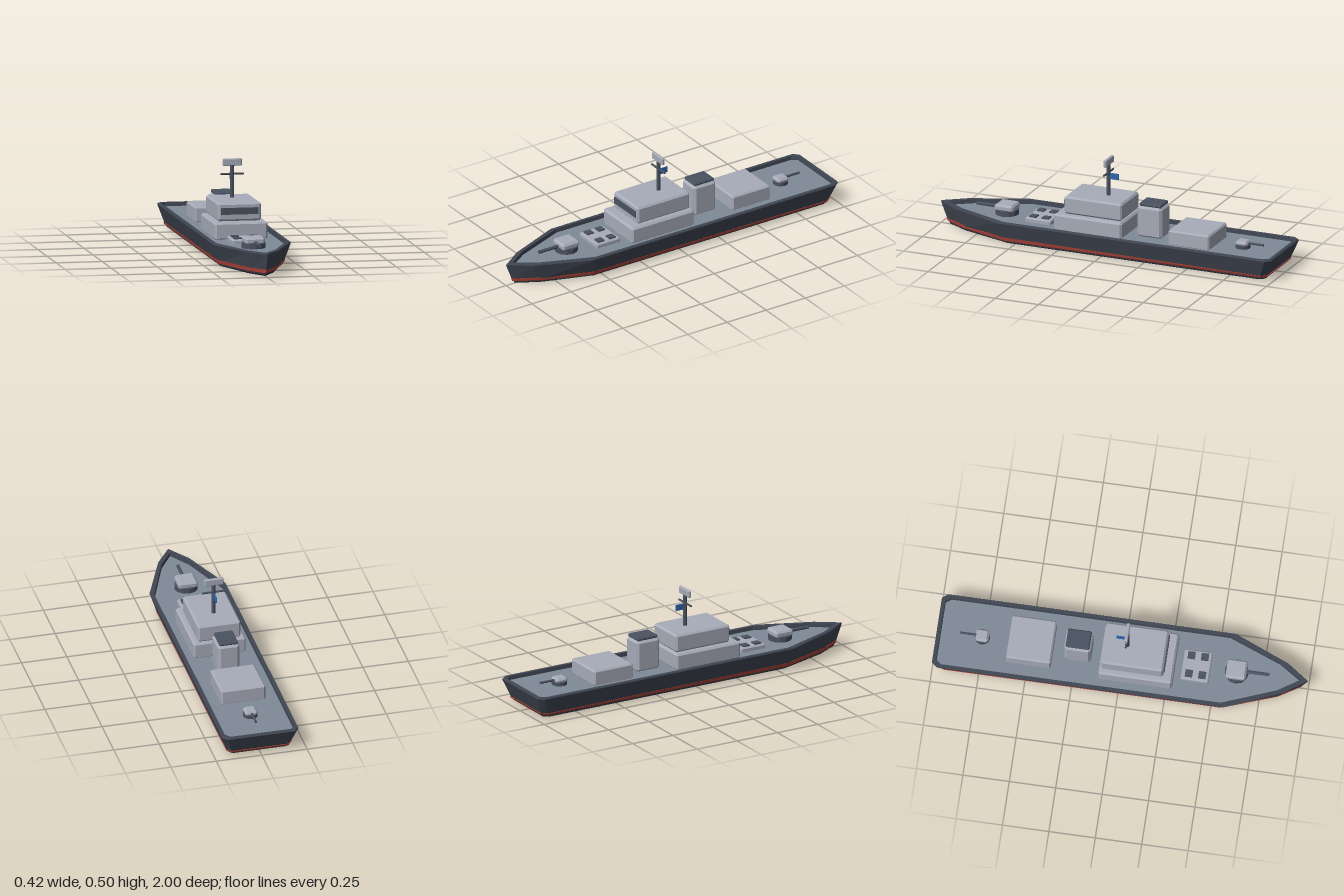
import * as THREE from 'three';
import { ConvexGeometry } from 'three/addons/geometries/ConvexGeometry.js';

const flat = (name, color) => {
  const m = new THREE.MeshStandardMaterial({ color, flatShading: true });
  m.name = name;
  return m;
};

// Plan of the hull at the rail: bow tip, port side, stern, starboard side
const port = [[0.085, 0.88], [0.21, 0.58], [0.21, -0.97], [0.185, -1]];
const outline = [[0, 1], ...port, ...port.slice().reverse().map(([x, z]) => [-x, z])];

// One level of the hull: the plan scaled to a half beam, a bow and a stern length
const ring = (y, halfBeam, bow, stern = bow) => outline.map(([x, z]) => [
  x * halfBeam / 0.21,
  typeof y === 'function' ? y(z) : y,
  z * (z > 0 ? bow : stern),
]);

// Skin between successive rings, with optional flat caps
function loft(rings, capBottom, capTop) {
  const n = outline.length, pos = [];
  const tri = (a, b, c) => pos.push(...a, ...b, ...c);
  for (let r = 0; r < rings.length - 1; r++) {
    const a = rings[r], b = rings[r + 1];
    for (let i = 0; i < n; i++) {
      const j = (i + 1) % n;
      tri(a[i], a[j], b[j]);
      tri(a[i], b[j], b[i]);
    }
  }
  const cap = (p, up) => {
    const c = [0, p[0][1], 0];
    for (let i = 0; i < n; i++) {
      const j = (i + 1) % n;
      if (up) tri(c, p[i], p[j]); else tri(c, p[j], p[i]);
    }
  };
  if (capBottom) cap(rings[0], false);
  if (capTop) cap(rings[rings.length - 1], true);
  const g = new THREE.BufferGeometry();
  g.setAttribute('position', new THREE.Float32BufferAttribute(pos, 3));
  g.computeVertexNormals();
  return g;
}

// Box with chamfered edges
function chamferBox(w, h, d, c) {
  const pts = [], s = [-1, 1];
  for (const i of s) for (const j of s) for (const k of s) {
    const x = w / 2, y = h / 2, z = d / 2;
    pts.push(
      new THREE.Vector3(i * x, j * (y - c), k * (z - c)),
      new THREE.Vector3(i * (x - c), j * y, k * (z - c)),
      new THREE.Vector3(i * (x - c), j * (y - c), k * z));
  }
  return new ConvexGeometry(pts);
}

export function createModel() {
  const ship = new THREE.Group();
  ship.name = 'warship';
  const hullGrey = flat('hull grey', 0x414854);
  const keelGrey = flat('keel grey', 0x2c3039);
  const red = flat('waterline red', 0xb3453a);
  const deckGrey = flat('deck grey', 0x808b99);
  const paleGrey = flat('superstructure grey', 0xa7acb9);
  const darkGrey = flat('fitting grey', 0x4a5260);
  const blue = flat('flag blue', 0x2f66b0);

  const add = (name, geometry, material, x = 0, y = 0, z = 0, parent = ship) => {
    const m = new THREE.Mesh(geometry, material);
    m.name = name;
    m.position.set(x, y, z);
    parent.add(m);
    return m;
  };
  // Chamfered block given by its limits
  const block = (name, mat, halfW, y0, y1, z0, z1, c, parent) =>
    add(name, chamferBox(halfW * 2, y1 - y0, z1 - z0, c), mat, 0, (y0 + y1) / 2, (z0 + z1) / 2, parent);

  // Hull with raised bulwark, keel, waterline and deck
  const deckY = 0.106;
  const deckEdge = ring(deckY, 0.188, 0.955, 0.977);
  add('keel', loft([ring(0, 0.16, 0.94), ring(0.006, 0.17, 0.95), ring(0.018, 0.17, 0.95)], true, false), keelGrey);
  add('hull', loft([
    ring(0.018, 0.165, 0.945), ring(0.018, 0.176, 0.959), ring(0.121, 0.21, 1),
    ring(0.127, 0.207, 0.996), ring(0.127, 0.19, 0.958, 0.979), deckEdge,
  ]), hullGrey);
  const stripeTop = z => (z > 0.5 ? 0.036 : 0.027);
  add('waterline', loft([
    ring(0.0165, 0.165, 0.945), ring(0.0165, 0.178, 0.961),
    ring(stripeTop, 0.183, 0.9675), ring(stripeTop, 0.176, 0.958),
  ]), red);
  add('deck', loft([deckEdge], false, true), deckGrey);

  // Superstructure
  block('lowerHouse', paleGrey, 0.144, 0.1, 0.195, -0.11, 0.286, 0.01);
  block('bridge', paleGrey, 0.118, 0.195, 0.293, -0.1, 0.235, 0.01);
  add('bridgeWindow', new THREE.BoxGeometry(0.204, 0.036, 0.008), darkGrey, 0, 0.249, 0.237);
  block('hangar', paleGrey, 0.122, 0.1, 0.187, -0.61, -0.37, 0.008);
  block('funnel', paleGrey, 0.06, 0.1, 0.278, -0.307, -0.163, 0.014);
  block('funnelCap', darkGrey, 0.052, 0.274, 0.293, -0.3, -0.172, 0.006);

  // Mast with yard, radar and flag
  const mast = new THREE.Group();
  mast.name = 'mast';
  mast.position.z = 0.026;
  ship.add(mast);
  add('mastPole', new THREE.CylinderGeometry(0.011, 0.011, 0.18, 8), darkGrey, 0, 0.377, 0, mast);
  add('yard', new THREE.CylinderGeometry(0.0055, 0.0055, 0.126, 8), darkGrey, 0, 0.42, 0, mast)
    .rotation.z = Math.PI / 2;
  block('radar', paleGrey, 0.052, 0.463, 0.502, -0.009, 0.009, 0.004, mast);
  add('flag', new THREE.BoxGeometry(0.005, 0.033, 0.052), blue, 0, 0.401, -0.032, mast);

  // Missile launcher with four hatches
  block('launcher', paleGrey, 0.086, 0.1, 0.13, 0.325, 0.475, 0.006);
  for (const x of [-0.052, 0.052]) for (const z of [0.365, 0.437])
    add('launcherHatch', new THREE.BoxGeometry(0.04, 0.009, 0.04), darkGrey, x, 0.1325, z);

  // Gun turrets, forward and aft
  const turret = (name, z, dir, baseR, baseTop, halfW, top, depth, barrelY, barrelR, reach) => {
    const g = new THREE.Group();
    g.name = name;
    g.position.z = z;
    if (dir < 0) g.rotation.y = Math.PI;
    ship.add(g);
    add('turretBase', new THREE.CylinderGeometry(baseR, baseR, baseTop - 0.1, 12), darkGrey, 0, (baseTop + 0.1) / 2, 0, g);
    block('turretHouse', paleGrey, halfW, baseTop - 0.006, top, -depth / 2, depth / 2, 0.01, g);
    add('gunBarrel', new THREE.CylinderGeometry(barrelR, barrelR, reach, 8), darkGrey, 0, barrelY, reach / 2, g)
      .rotation.x = Math.PI / 2;
  };
  turret('forwardTurret', 0.615, 1, 0.064, 0.134, 0.053, 0.166, 0.108, 0.14, 0.0095, 0.175);
  turret('aftTurret', -0.755, -1, 0.041, 0.125, 0.034, 0.147, 0.07, 0.134, 0.0065, 0.12);

  return ship;
}
